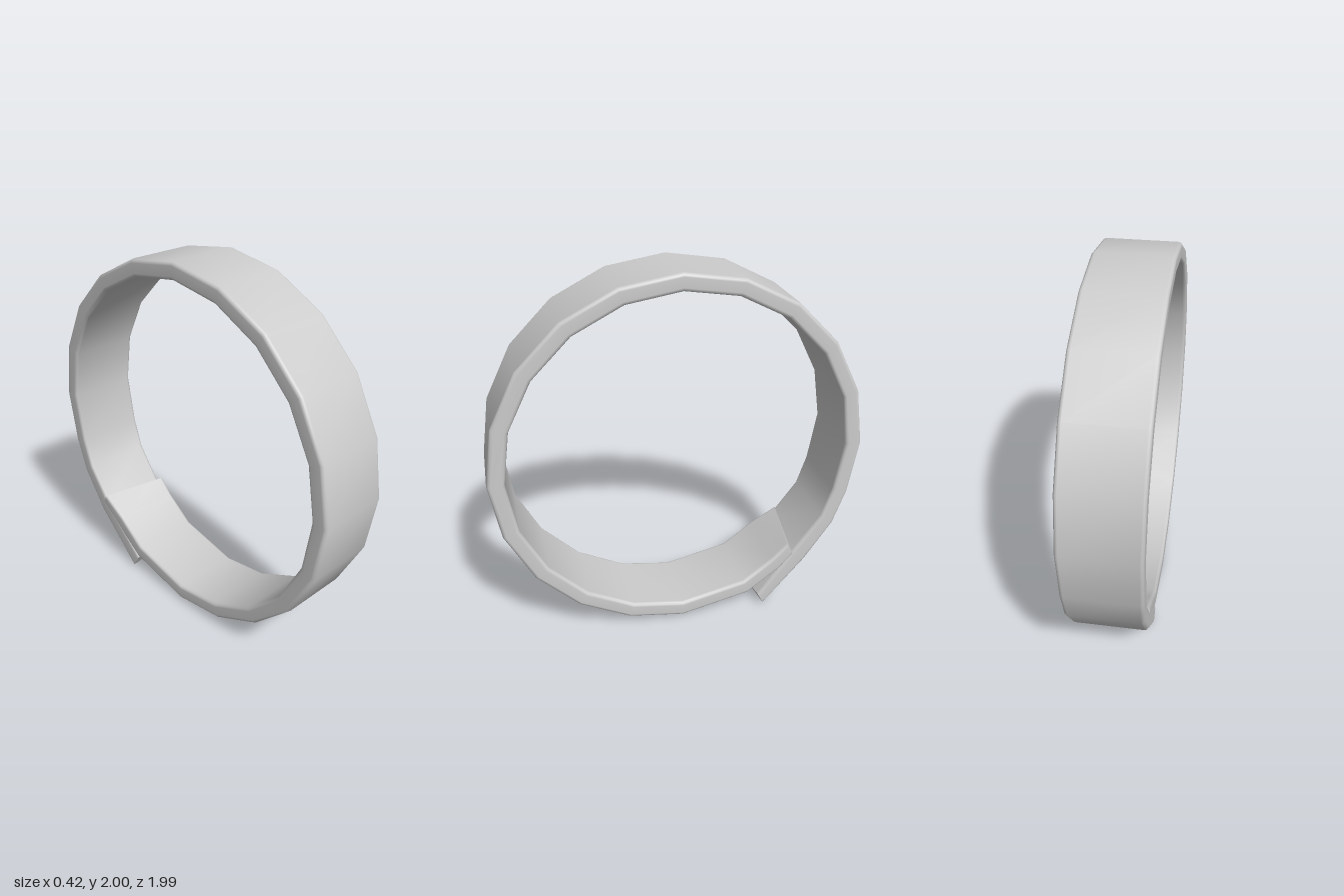
import * as THREE from 'three';

const HALF_WIDTH = 0.2, OUTER = 0.993, INNER = 0.903, CENTRE_Y = 1.007;

// Stations along the band: inner edge (z, y), outer edge (z, y),
// and optional skew of inner and outer edge towards -x (z, y each)
function bandStations() {
  const list = [
    // inner tongue
    { p: [-0.645, 0.4, -0.675, 0.335], skew: [-0.035, 0, -0.025, 0.01] },
    { p: [-0.53, 0.315, -0.575, 0.24] },
    { p: [-0.36, 0.185, -0.39, 0.1] },
  ];
  // regular twenty-sided run, from the bottom over the front and the top to the back
  for (let i = 0; i <= 16; i++) {
    const a = (i * Math.PI) / 10, s = Math.sin(a), c = Math.cos(a);
    list.push({ p: [INNER * s, CENTRE_Y - INNER * c, OUTER * s, CENTRE_Y - OUTER * c] });
  }
  // outer tongue
  list.push(
    { p: [-0.805, 0.56, -0.877, 0.505] },
    { p: [-0.65, 0.35, -0.725, 0.28] },
    { p: [-0.417, 0.085, -0.463, 0.005], skew: [0.037, 0.015, 0.023, 0] },
  );
  return list;
}

// Rounded rectangle, counter-clockwise: x across the band, u from inner (0) to outer (1)
function profile() {
  const r = 0.02, ru = 0.22, steps = 3, pts = [];
  const corners = [[1, 1, 0], [-1, 1, 1], [-1, 0, 2], [1, 0, 3]];
  for (const [sx, u, q] of corners) {
    for (let k = 0; k <= steps; k++) {
      const a = (q + k / steps) * Math.PI / 2;
      pts.push([
        sx * (HALF_WIDTH - r) + r * Math.cos(a),
        (u ? 1 - ru : ru) + ru * Math.sin(a),
      ]);
    }
  }
  return pts;
}

function ringPoints(station, section) {
  const [zi, yi, zo, yo] = station.p;
  const k = station.skew || [0, 0, 0, 0];
  return section.map(([x, u]) => {
    const f = -x / HALF_WIDTH;
    const z = THREE.MathUtils.lerp(zi + k[0] * f, zo + k[2] * f, u);
    const y = THREE.MathUtils.lerp(yi + k[1] * f, yo + k[3] * f, u);
    return new THREE.Vector3(x - 0.003 - 0.009 * (y - 1), y, z); // slight sideways lean
  });
}

function makeGeometry(points, index) {
  const g = new THREE.BufferGeometry().setFromPoints(points);
  g.setIndex(index);
  g.computeVertexNormals();
  return g;
}

export function createModel() {
  const group = new THREE.Group();
  group.name = 'openBand';
  const material = new THREE.MeshStandardMaterial({ color: 0xcccccc });
  const add = (name, geometry) => {
    const mesh = new THREE.Mesh(geometry, material);
    mesh.name = name;
    group.add(mesh);
  };

  const section = profile(), n = section.length;
  const rings = bandStations().map((s) => ringPoints(s, section));

  // Band skin
  const index = [];
  for (let k = 0; k < rings.length - 1; k++) {
    for (let j = 0; j < n; j++) {
      const a = k * n + j, b = k * n + ((j + 1) % n);
      index.push(a, a + n, b, b, a + n, b + n);
    }
  }
  add('band', makeGeometry(rings.flat(), index));

  // Flat end faces
  const start = [], end = [];
  for (let j = 1; j < n - 1; j++) {
    start.push(0, j, j + 1);
    end.push(0, j + 1, j);
  }
  add('innerEndFace', makeGeometry(rings[0], start));
  add('outerEndFace', makeGeometry(rings[rings.length - 1], end));
  return group;
}
